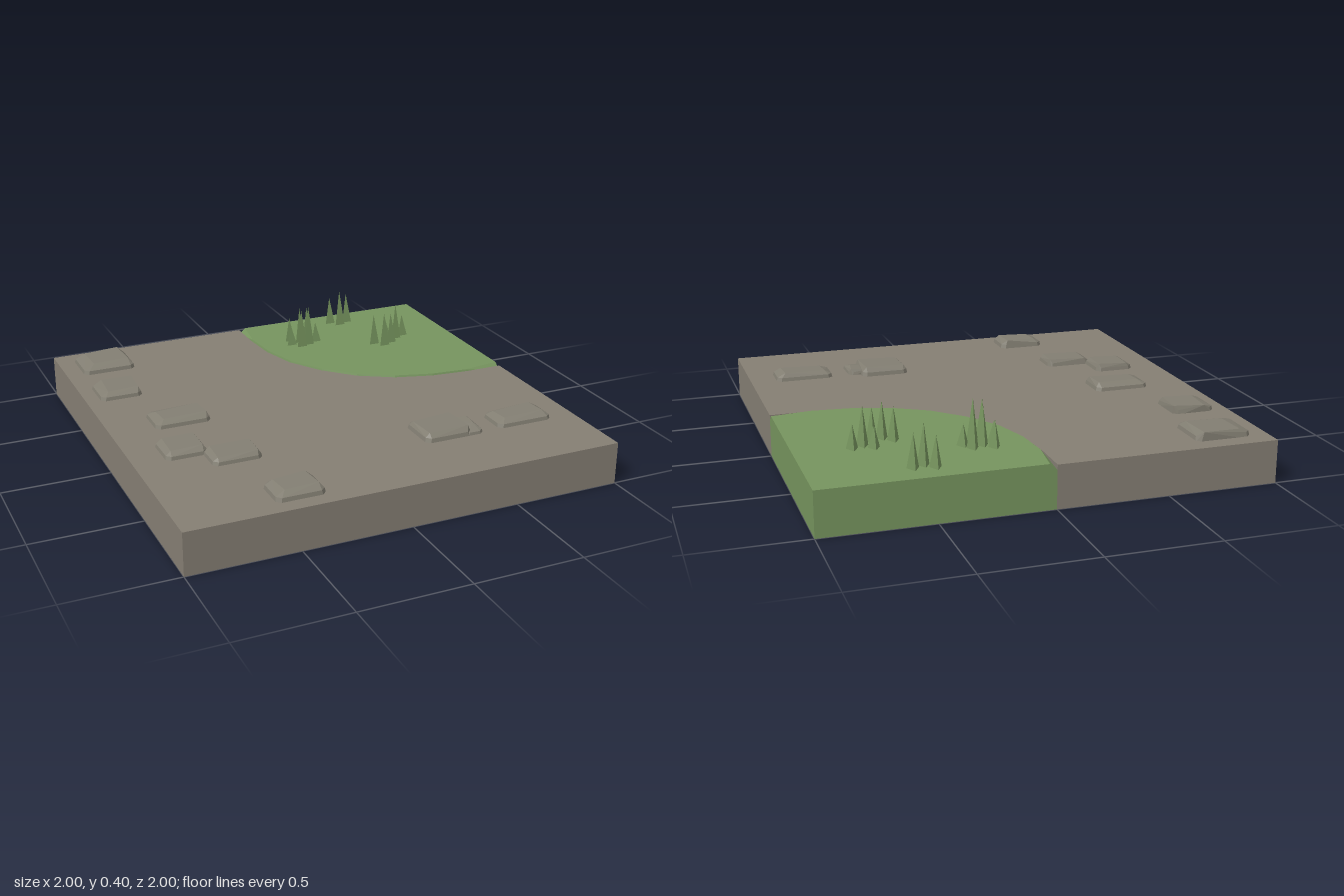
import * as THREE from 'three';
import { ConvexGeometry } from 'three/addons/geometries/ConvexGeometry.js';

const GROUND_TOP = 0.194;
const GRASS_TOP = 0.2;

// curved edge of the grass as [x, z], at its foot and at its bevelled top
const FOOT = [[0, -1], [0, -0.82], [0.015, -0.64], [0.065, -0.46], [0.165, -0.3],
  [0.295, -0.165], [0.455, -0.07], [0.635, -0.018], [0.815, 0], [1, 0]];
const RIM = [[0.033, -1], [0.008, -0.82], [0.022, -0.64], [0.072, -0.463], [0.171, -0.305],
  [0.3, -0.172], [0.459, -0.079], [0.638, -0.027], [0.815, -0.01], [1, -0.035]];

// rocks: outer box x0 z0 x1 z1, top box x0 z0 x1 z1, top height, skew
const ROCKS = [
  [-0.92, -0.92, -0.66, -0.7, -0.865, -0.915, -0.685, -0.755, 0.234, 0.008],
  [-0.935, -0.545, -0.73, -0.35, -0.88, -0.535, -0.745, -0.39, 0.23, -0.01],
  [-0.8, -0.12, -0.535, 0.06, -0.76, -0.08, -0.55, 0.02, 0.231, 0.008],
  [-0.86, 0.2, -0.665, 0.385, -0.825, 0.215, -0.685, 0.35, 0.23, -0.004],
  [-0.695, 0.355, -0.465, 0.515, -0.66, 0.37, -0.485, 0.49, 0.228, -0.006],
  [-0.58, 0.76, -0.355, 0.93, -0.54, 0.775, -0.38, 0.89, 0.235, 0.01],
  [0.232, 0.465, 0.465, 0.675, 0.25, 0.495, 0.45, 0.645, 0.236, 0.01],
  [0.42, 0.515, 0.525, 0.675, 0.435, 0.525, 0.5, 0.6, 0.222, -0.008],
  [0.602, 0.505, 0.88, 0.665, 0.64, 0.53, 0.845, 0.625, 0.231, 0.01],
];

// spiky shrubs: x, z, tip height
const SHRUBS = [
  [0.48, -0.9, 0.34], [0.52, -0.86, 0.385], [0.57, -0.885, 0.355],
  [0.66, -0.595, 0.3], [0.7, -0.555, 0.38], [0.75, -0.58, 0.31],
  [0.56, -0.525, 0.355], [0.6, -0.485, 0.37], [0.65, -0.51, 0.355],
  [0.18, -0.74, 0.32], [0.165, -0.68, 0.3], [0.22, -0.7, 0.38], [0.205, -0.64, 0.39],
  [0.27, -0.725, 0.37], [0.25, -0.655, 0.4], [0.3, -0.68, 0.3],
];

function rockGeometry([x0, z0, x1, z1, a0, b0, a1, b1, top, skew]) {
  const points = [];
  const add = (x, y, z) => points.push(new THREE.Vector3(x, y, z));
  const shoulder = GROUND_TOP + (top - GROUND_TOP) * 0.45;
  const cut = 0.02;
  // vertical flank with clipped corners
  for (const y of [GROUND_TOP - 0.01, shoulder]) {
    const inset = y === shoulder ? 0.006 : 0;
    for (const [x, z, sx, sz] of [[x0, z0, 1, 1], [x1, z0, -1, 1], [x1, z1, -1, -1], [x0, z1, 1, -1]]) {
      add(x + sx * (cut + inset), y, z + sz * inset);
      add(x + sx * inset, y, z + sz * (cut + inset));
    }
  }
  // slightly skewed flat top
  add(a0, top - 0.005, b0 + skew);
  add(a1 - skew, top, b0 - skew / 2);
  add(a1, top, b1);
  add(a0 + skew, top - 0.005, b1);
  return new ConvexGeometry(points);
}

export function createModel() {
  const model = new THREE.Group();
  model.name = 'terrainTile';
  const material = (name, color) => {
    const m = new THREE.MeshStandardMaterial({ color });
    m.name = name;
    return m;
  };
  const earth = material('earth', 0x857e73);
  const stone = material('stone', 0x827e72);
  const grass = material('grass', 0x76945e);

  const add = (parent, name, geometry, mat) => {
    const mesh = new THREE.Mesh(geometry, mat);
    mesh.name = name;
    parent.add(mesh);
    return mesh;
  };
  const group = (name) => {
    const g = new THREE.Group();
    g.name = name;
    model.add(g);
    return g;
  };

  // earth slab with the curved corner left out
  const outline = [[-1, -1], ...FOOT, [1, 1], [-1, 1]];
  const slab = new THREE.ExtrudeGeometry(
    new THREE.Shape(outline.map(([x, z]) => new THREE.Vector2(x, -z))),
    { depth: GROUND_TOP, bevelEnabled: false });
  slab.rotateX(-Math.PI / 2);
  add(model, 'earthSlab', slab, earth);

  // grass corner with a bevelled rim
  const lawn = [];
  for (const [ring, y] of [[FOOT, 0], [FOOT, 0.17], [RIM, GRASS_TOP]]) {
    for (const [x, z] of [...ring, [1, -1]]) lawn.push(new THREE.Vector3(x, y, z));
  }
  add(model, 'grassCorner', new ConvexGeometry(lawn), grass);

  // rocks
  const rocks = group('rocks');
  ROCKS.forEach((r) => add(rocks, 'rock', rockGeometry(r), stone));

  // three-sided shrubs
  const shrubs = group('shrubs');
  for (const [x, z, tip] of SHRUBS) {
    const height = tip - GRASS_TOP;
    const cone = new THREE.ConeGeometry(0.03, height, 3).toNonIndexed();
    cone.rotateY(Math.PI);
    cone.computeVertexNormals();
    add(shrubs, 'shrub', cone, grass).position.set(x, GRASS_TOP + height / 2, z);
  }
  return model;
}
